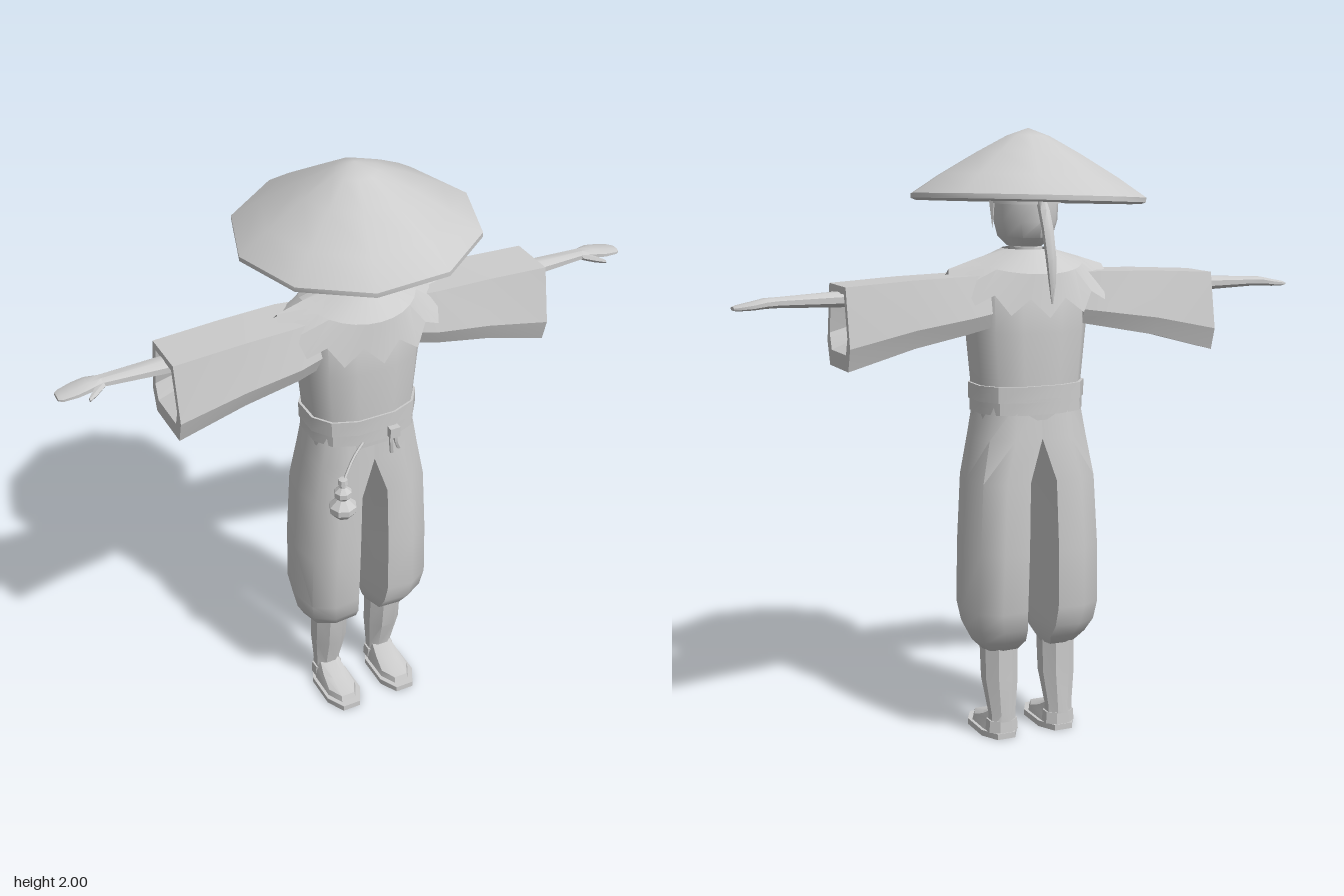
import * as THREE from 'three';
import { toCreasedNormals } from 'three/addons/utils/BufferGeometryUtils.js';

const clay = new THREE.MeshStandardMaterial({ color: 0xcccccc, side: THREE.DoubleSide });
clay.name = 'light grey';

function part(parent, name, geometry, crease = 0.6) {
  const mesh = new THREE.Mesh(toCreasedNormals(geometry, crease), clay);
  mesh.name = name;
  parent.add(mesh);
  return mesh;
}

// Skin a list of cross-sections, each turning right-handed about the loft direction
function loft(rings, capStart = true, capEnd = true) {
  const n = rings[0].length, pos = rings.flat(2), index = [];
  for (let i = 0; i < rings.length - 1; i++) {
    for (let j = 0; j < n; j++) {
      const k = (j + 1) % n, a = i * n + j, b = i * n + k;
      index.push(a, b, b + n, a, b + n, a + n);
    }
  }
  const last = (rings.length - 1) * n;
  for (let j = 1; j < n - 1; j++) {
    if (capStart) index.push(0, j + 1, j);
    if (capEnd) index.push(last, last + j, last + j + 1);
  }
  const g = new THREE.BufferGeometry();
  g.setAttribute('position', new THREE.Float32BufferAttribute(pos, 3));
  g.setIndex(index);
  return g;
}

// Horizontal oval: [y, centre x, centre z, radius x, radius z]
const oval = (n, power = 1) => ([y, cx, cz, rx, rz]) => Array.from({ length: n }, (_, j) => {
  const a = (j + 0.5) / n * Math.PI * 2, c = Math.cos(a), s = Math.sin(a);
  const soft = v => Math.sign(v) * Math.abs(v) ** power;
  return [cx + rx * soft(c), y, cz - rz * soft(s)];
});

// Upright oval for the arm: [x, centre y, centre z, radius y, radius z]
const armOval = n => ([x, cy, cz, ry, rz]) => Array.from({ length: n }, (_, j) => {
  const a = (j + 0.5) / n * Math.PI * 2;
  return [x, cy + ry * Math.cos(a), cz + rz * Math.sin(a)];
});

function tube(points, radius) {
  const curve = new THREE.CatmullRomCurve3(points.map(p => new THREE.Vector3(...p)));
  return new THREE.TubeGeometry(curve, 6, radius, 5);
}

function lathe(profile, sides, start = 0) {
  return new THREE.LatheGeometry(profile.map(p => new THREE.Vector2(...p)), sides, start);
}

// Six-sided sleeve section, scaled about its middle
function sleeveRing(x, top, bottom, k = 1) {
  const mid = top - (top - bottom) * 0.72;
  return [[top, 0.09], [mid, 0.122], [bottom, 0.1], [bottom, -0.08], [mid, -0.102], [top, -0.07]]
    .map(([y, z]) => [x, y, 0.01 + (z - 0.01) * k]);
}

function buildArm() {
  const arm = new THREE.Group();
  part(arm, 'sleeve', loft([
    sleeveRing(0.16, 1.545, 1.38, 0.85), sleeveRing(0.24, 1.545, 1.365), sleeveRing(0.42, 1.54, 1.33),
    sleeveRing(0.637, 1.528, 1.27), sleeveRing(0.637, 1.505, 1.32, 0.78), sleeveRing(0.46, 1.505, 1.39, 0.7),
  ]), 0.4);
  part(arm, 'forearm and hand', loft([
    [0.42, 1.487, 0.005, 0.03, 0.042], [0.64, 1.485, 0.005, 0.025, 0.038], [0.83, 1.484, 0, 0.017, 0.026],
    [0.87, 1.483, 0, 0.016, 0.038], [0.91, 1.477, 0.001, 0.013, 0.04], [0.955, 1.472, 0.004, 0.009, 0.032],
    [0.967, 1.471, 0.004, 0.006, 0.022],
  ].map(armOval(8))));
  part(arm, 'thumb', loft([
    [0.825, 1.482, 0.012, 0.011, 0.018], [0.86, 1.478, 0.042, 0.011, 0.016], [0.887, 1.474, 0.066, 0.006, 0.007],
  ].map(armOval(6))));
  return arm;
}

function buildLeg() {
  const leg = new THREE.Group();
  // Baggy trousers: [y, outer x, inner front x, inmost x, front z, back z]
  const rings = [
    [0.305, 0.165, 0.06, 0.045, 0.055, -0.05], [0.34, 0.2, 0.045, 0.025, 0.105, -0.085],
    [0.385, 0.224, 0.05, 0.012, 0.135, -0.115], [0.45, 0.236, 0.055, 0.005, 0.15, -0.128],
    [0.65, 0.23, 0.052, 0.004, 0.157, -0.136], [0.88, 0.217, 0.046, 0.002, 0.155, -0.13],
    [1.02, 0.193, 0, 0, 0.15, -0.118], [1.14, 0.17, 0, 0, 0.145, -0.108],
  ].map(([y, xo, xi, xm, zf, zb]) => {
    const m = (xo + xi) / 2, zc = (zf + zb) / 2;
    const o = xo - (xo - xi) * 0.12;
    return [[xo, zc], [o, zc + (zb - zc) * 0.7], [m, zb], [xi, zb * 0.95], [xm, zc],
      [xi, zf * 0.95], [m, zf], [o, zc + (zf - zc) * 0.7]].map(([x, z]) => [x, y, z]);
  });
  part(leg, 'trouser leg', loft(rings), 0.85);
  part(leg, 'shin wrap', loft([
    [0.03, 0.104, -0.016, 0.048, 0.04], [0.08, 0.104, -0.016, 0.046, 0.04],
    [0.2, 0.104, 0.004, 0.062, 0.058], [0.34, 0.104, 0.012, 0.063, 0.066],
  ].map(oval(8))), 0.7);
  part(leg, 'ankle band', loft([[0.02, 0.104, -0.014, 0.056, 0.044], [0.06, 0.104, -0.014, 0.053, 0.042]].map(oval(8))));
  // Foot wedge and sole
  part(leg, 'foot', loft([
    [0.015, 0.105, 0.06, 0.058, 0.113], [0.04, 0.105, 0.056, 0.052, 0.108],
    [0.06, 0.105, 0.02, 0.045, 0.065], [0.085, 0.104, -0.012, 0.036, 0.035],
  ].map(oval(8, 0.8))), 0.5);
  part(leg, 'sole', loft([[0, 0.105, 0.065, 0.068, 0.13], [0.02, 0.105, 0.065, 0.068, 0.13]].map(oval(8, 0.8))));
  return leg;
}

function buildHead() {
  const head = new THREE.Group();
  head.name = 'head';
  part(head, 'face', loft([
    [1.56, 0, 0.01, 0.055, 0.055], [1.625, 0, 0.015, 0.05, 0.065], [1.63, 0, 0.035, 0.052, 0.085],
    [1.66, 0, 0.025, 0.085, 0.118], [1.71, 0, 0.022, 0.1, 0.125], [1.79, 0, 0.018, 0.104, 0.12],
    [1.87, 0, 0.015, 0.085, 0.1],
  ].map(oval(10))), 0.8);
  part(head, 'nose', new THREE.ConeGeometry(0.014, 0.06, 4)).position.set(0, 1.715, 0.138);
  part(head, 'hair cap', loft([
    [1.765, 0, 0.012, 0.11, 0.122], [1.83, 0, 0.01, 0.105, 0.118], [1.89, 0, 0.01, 0.06, 0.07],
  ].map(oval(10))), 0.8);
  for (const side of [1, -1]) {
    const lock = part(head, 'side hair lock', new THREE.ConeGeometry(0.014, 0.11, 4));
    lock.rotation.x = Math.PI;
    lock.position.set(side * 0.103, 1.74, 0.05);
  }
  part(head, 'ponytail', loft([
    [1.46, 0, -0.183, 0.003, 0.003], [1.53, 0, -0.182, 0.012, 0.011], [1.6, 0, -0.173, 0.017, 0.016],
    [1.69, 0, -0.147, 0.019, 0.018], [1.75, 0, -0.118, 0.018, 0.02], [1.79, 0, -0.09, 0.014, 0.02],
  ].map(oval(6))), 1);
  return head;
}

// Short shoulder cape with a pointed hem
function buildCape() {
  const n = 28, hem = [], middle = [], neck = [];
  for (let j = 0; j < n; j++) {
    const a = j / n * Math.PI * 2, s = Math.sin(a), c = Math.cos(a), tip = j % 2 === 0;
    const k = tip ? 1 : 0.93, drop = Math.abs(c) ** 0.75;
    hem.push([0.29 * s * k, 1.555 - 0.14 * drop + (tip ? 0 : 0.05 * drop + 0.008), 0.015 + 0.185 * c * k]);
    middle.push([0.185 * s, 1.59 - 0.04 * Math.abs(c), 0.018 + 0.16 * c]);
    neck.push([0.075 * s, 1.622, 0.02 + 0.088 * c]);
  }
  return loft([hem, middle, neck], false, false);
}

export function createModel() {
  const model = new THREE.Group();
  model.name = 'traveller in straw hat';

  // Wide cone hat, hollow and slightly tilted
  const hat = part(model, 'hat', lathe([
    [0, -0.06], [0.17, -0.125], [0.365, -0.232], [0.382, -0.226], [0.382, -0.211],
    [0.29, -0.15], [0.17, -0.079], [0.07, -0.025], [0, 0],
  ], 10, Math.PI / 10), 0.75);
  hat.position.set(0, 2, 0);
  hat.rotation.set(0.04, 0, 0.04);

  model.add(buildHead());
  part(model, 'tunic', loft([
    [1.08, 0, 0.02, 0.176, 0.132], [1.2, 0, 0.02, 0.182, 0.135], [1.36, 0, 0.02, 0.198, 0.138],
    [1.5, 0, 0.02, 0.2, 0.13], [1.57, 0, 0.02, 0.15, 0.1], [1.61, 0, 0.02, 0.07, 0.075],
  ].map(oval(12, 0.8))), 0.7);
  part(model, 'shoulder cape', buildCape(), 0.3);

  // Two wraps of the sash
  [[1.14, 1.192, 0.19], [1.1, 1.15, 0.184]].forEach(([low, high, r]) => part(model, 'sash wrap',
    loft([low, high].map(y => [y, 0, 0.018, r, 0.143])
      .map(oval(12, 0.8)))));
  part(model, 'sash knot', new THREE.BoxGeometry(0.035, 0.035, 0.03)).position.set(0.055, 1.125, 0.163);
  [[0.045, 0.05, 1.045], [0.062, 0.075, 1.055]].forEach(([x0, x1, y]) =>
    part(model, 'sash tail', tube([[x0, 1.13, 0.165], [x0, 1.09, 0.168], [x1, y, 0.164]], 0.007), 1));

  // Gourd flask on a cord
  const gourd = part(model, 'gourd', lathe([
    [0, 0], [0.028, 0.004], [0.045, 0.025], [0.045, 0.045], [0.018, 0.07], [0.029, 0.083],
    [0.029, 0.1], [0.012, 0.115], [0.011, 0.126], [0.017, 0.128], [0.015, 0.145], [0, 0.147],
  ], 8), 0.5);
  gourd.position.set(-0.143, 0.88, 0.2);
  part(model, 'gourd cord', tube([[-0.05, 1.11, 0.158], [-0.09, 1.075, 0.172], [-0.143, 1.01, 0.2]], 0.005), 1);

  // Mirrored limbs
  for (const side of [1, -1]) {
    const arm = buildArm(), leg = buildLeg();
    arm.name = side > 0 ? 'leftArm' : 'rightArm';
    leg.name = side > 0 ? 'leftLeg' : 'rightLeg';
    arm.scale.x = leg.scale.x = side;
    model.add(arm, leg);
  }
  return model;
}
